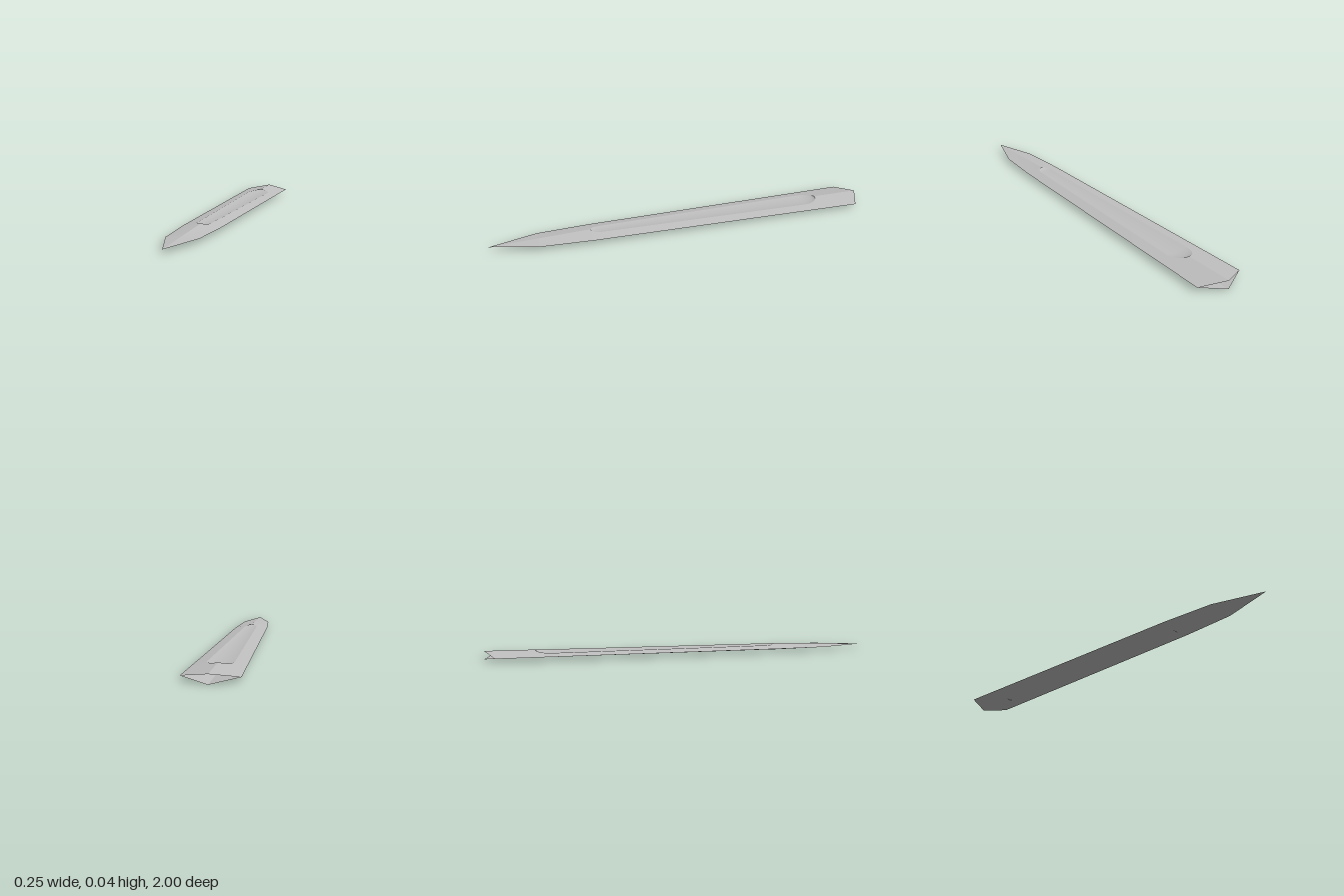
import * as THREE from 'three';

const MID = 0.021; // height of the cutting edges
const BACK = -0.75, FRONT = 0.5; // ends of the fuller

// piecewise linear lookup in [position, value] pairs
function lerpTable(table, z) {
  for (let i = 1; i < table.length; i++) {
    const [z0, v0] = table[i - 1], [z1, v1] = table[i];
    if (z <= z1) return v0 + (v1 - v0) * Math.max(0, (z - z0) / (z1 - z0));
  }
  return table[table.length - 1][1];
}

const halfWidth = (z) => lerpTable([[-0.94, 0.123], [0.5, 0.092], [0.76, 0.075], [1, 0]], z);
const ridge = (z) => lerpTable([[-1, 0.021], [-0.75, 0.0205], [0.5, 0.0175], [0.76, 0.0085], [1, 0]], z);

// half width of the fuller, with rounded ends
function fuller(z) {
  if (z <= BACK || z >= FRONT) return 0;
  const full = lerpTable([[-0.67, 0.06], [0.45, 0.034]], z);
  const round = (d, len) => (d >= len ? 1 : Math.sqrt(1 - (1 - d / len) ** 2));
  return full * round(z - BACK, 0.08) * round(FRONT - z, 0.05);
}

// grid surface; point(u, z) gives [x, height above mid, z]; side is 1 above, -1 below
function surface(rows, columns, point, side) {
  const positions = [], index = [], n = columns.length;
  rows.forEach((z, r) => columns.forEach((u, c) => {
    const [x, h, pz] = point(u, z);
    positions.push(x, MID + side * h, pz);
    if (r === 0 || c === 0) return;
    const d = r * n + c, b = d - n, a = b - 1, e = d - 1;
    if (side > 0) index.push(a, e, b, b, e, d);
    else index.push(a, b, e, b, d, e);
  }));
  const geometry = new THREE.BufferGeometry();
  geometry.setAttribute('position', new THREE.Float32BufferAttribute(positions, 3));
  geometry.setIndex(index);
  geometry.computeVertexNormals();
  return geometry;
}

export function createModel() {
  const group = new THREE.Group();
  group.name = 'blade';
  const steel = new THREE.MeshStandardMaterial({ color: 0xbfbfbf, side: THREE.DoubleSide });
  steel.name = 'steel';

  // stations along the blade, dense at the rounded ends of the fuller
  const grooveRows = [];
  for (let i = 0; i <= 10; i++) grooveRows.push(BACK + 0.08 * (i / 10) ** 2);
  for (let i = 1; i < 10; i++) grooveRows.push(-0.67 + 0.112 * i);
  for (let i = 10; i >= 0; i--) grooveRows.push(FRONT - 0.05 * (i / 10) ** 2);

  const add = (name, geometry) => {
    const mesh = new THREE.Mesh(geometry, steel);
    mesh.name = name;
    group.add(mesh);
  };

  // flat bevel between ridge or fuller rim (u = 0) and cutting edge (u = 1)
  const bevel = (sign) => (u, z) => {
    const w = halfWidth(z), g = fuller(z), a = Math.abs(u);
    const x = g + (w - g) * a;
    const height = w > 0 ? ridge(z) * (1 - x / w) : 0;
    // the open rear end is pointed along the ridge
    return [sign * x, height, z === -1 ? -1 + 0.06 * a : z];
  };

  // hollow fuller floor from rim to rim
  const hollow = (u, z) => {
    const g = fuller(z);
    const rim = ridge(z) * (1 - g / halfWidth(z));
    return [g * u, rim - 0.075 * g * (1 - u * u), z];
  };
  const across = Array.from({ length: 13 }, (_, i) => i / 6 - 1);

  for (const [label, side] of [['upper', 1], ['lower', -1]]) {
    for (const [hand, sign] of [['Left', 1], ['Right', -1]]) {
      const columns = sign > 0 ? [0, 1] : [-1, 0];
      // separate lengths keep the bends crisp
      const sections = { Rear: [-1, -0.9, BACK], Main: grooveRows, Front: [FRONT, 0.76], Tip: [0.76, 1] };
      for (const [part, rows] of Object.entries(sections)) {
        add(label + hand + part + 'Bevel', surface(rows, columns, bevel(sign), side));
      }
    }
    add(label + 'Fuller', surface(grooveRows, across, hollow, side));
  }
  return group;
}
